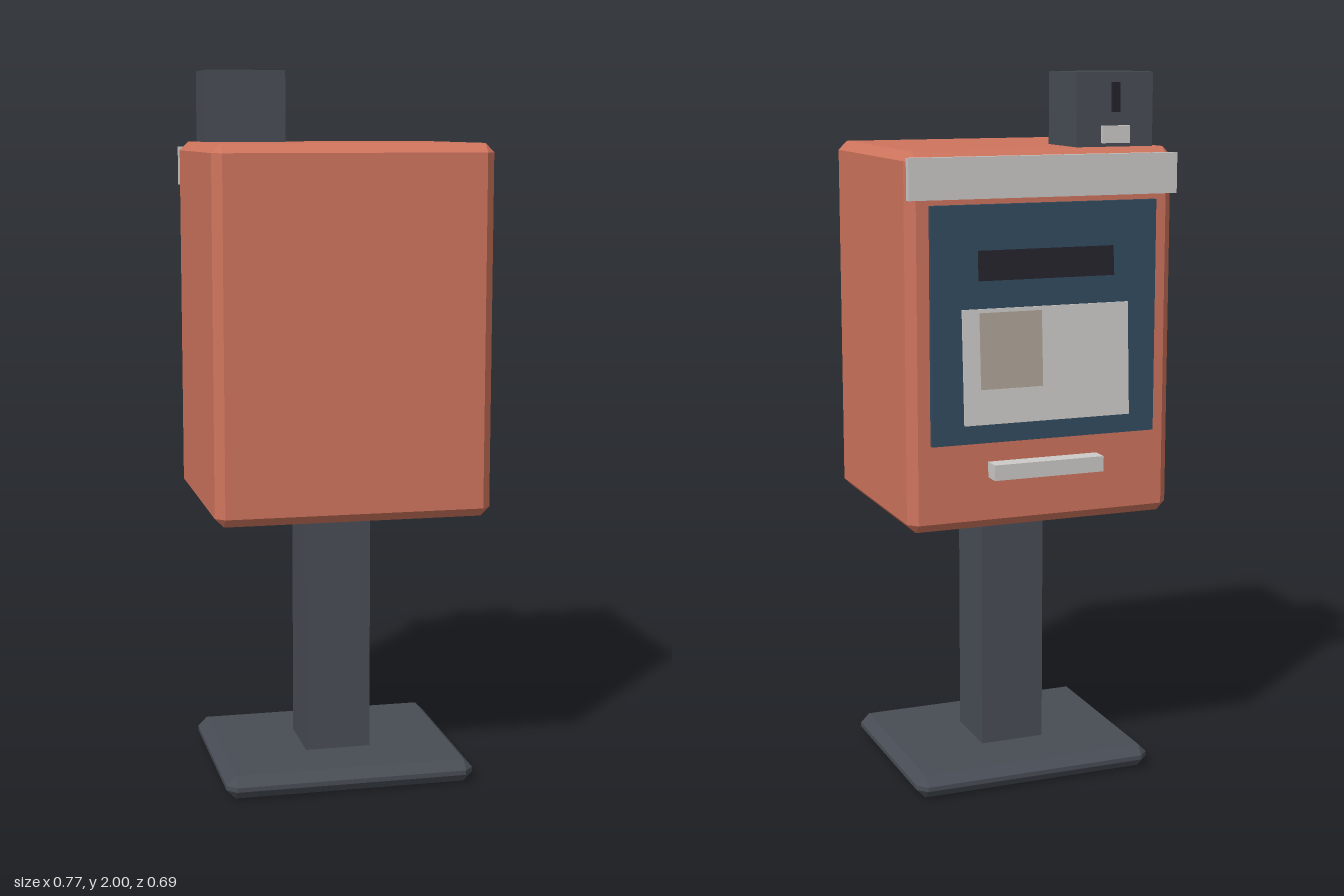
import * as THREE from 'three';
import { ConvexGeometry } from 'three/addons/geometries/ConvexGeometry.js';

const colour = (name, hex) => {
  const m = new THREE.MeshStandardMaterial({ color: hex });
  m.name = name;
  return m;
};

// Box with every edge cut at 45 degrees by c
function chamferBox(w, h, d, c) {
  const x = w / 2, y = h / 2, z = d / 2, pts = [];
  for (const sx of [-1, 1]) for (const sy of [-1, 1]) for (const sz of [-1, 1]) {
    pts.push(
      new THREE.Vector3(sx * x, sy * (y - c), sz * (z - c)),
      new THREE.Vector3(sx * (x - c), sy * y, sz * (z - c)),
      new THREE.Vector3(sx * (x - c), sy * (y - c), sz * z)
    );
  }
  return new ConvexGeometry(pts);
}

export function createModel() {
  const group = new THREE.Group();
  group.name = 'kiosk';

  const coral = colour('coral', 0xcf745d);
  const slate = colour('slate', 0x484d55);
  const pale = colour('pale grey', 0xcccbc8);
  const navy = colour('navy', 0x344c60);
  const dark = colour('near black', 0x24232a);
  const tan = colour('tan', 0xafa397);

  // Place a part by its extents: [min, max] on x, y and z
  const part = (name, mat, [x0, x1], [y0, y1], [z0, z1], chamfer = 0) => {
    const size = [x1 - x0, y1 - y0, z1 - z0];
    const geo = chamfer ? chamferBox(...size, chamfer) : new THREE.BoxGeometry(...size);
    const mesh = new THREE.Mesh(geo, mat);
    mesh.name = name;
    mesh.position.set((x0 + x1) / 2, (y0 + y1) / 2, (z0 + z1) / 2);
    group.add(mesh);
    return mesh;
  };

  // Stand and cabinet
  part('base', slate, [-0.355, 0.355], [0, 0.065], [-0.265, 0.315], 0.026);
  part('post', slate, [-0.094, 0.094], [0.06, 0.79], [-0.07, 0.12]);
  part('cabinet', coral, [-0.385, 0.385], [0.778, 1.8], [-0.295, 0.345], 0.025);

  // Service face on the -z side
  part('headerTrim', pale, [-0.385, 0.385], [1.675, 1.785], [-0.312, -0.292]);
  part('facePanel', navy, [-0.325, 0.325], [1.02, 1.66], [-0.31, -0.292]);
  part('handle', pale, [-0.16, 0.16], [0.922, 0.965], [-0.346, -0.292]);

  // Tilted display, tray plate and card
  const display = part('display', dark, [-0.193, 0.193], [1.46, 1.54], [-0.325, -0.309]);
  display.rotation.x = 0.1;
  const tray = part('trayPlate', pale, [-0.24, 0.24], [1.075, 1.385], [-0.3255, -0.3175]);
  tray.rotation.x = 0.055;
  const card = part('card', tan, [0.015, 0.193], [1.17, 1.375], [-0.326, -0.32]);
  card.rotation.x = 0.055;

  // Small unit on the roof
  part('roofUnit', slate, [-0.338, -0.113], [1.795, 2], [-0.25, -0.057]);
  part('roofSlot', dark, [-0.236, -0.215], [1.893, 1.972], [-0.262, -0.248]);
  part('roofLabel', pale, [-0.266, -0.185], [1.81, 1.857], [-0.261, -0.248]);

  return group;
}
